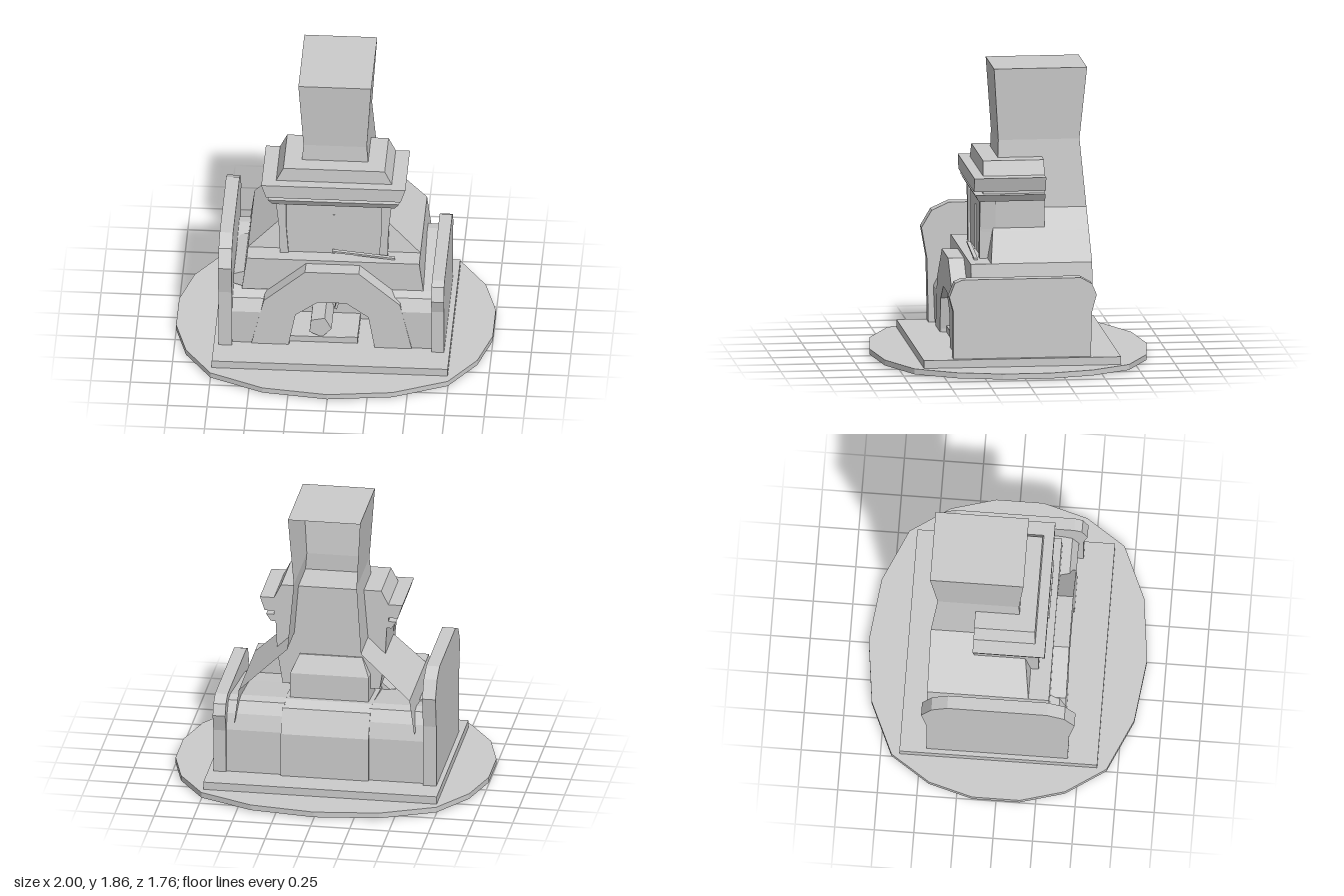
import * as THREE from 'three';

const mat = new THREE.MeshStandardMaterial({ color: 0xcccccc, flatShading: true });
const openMat = new THREE.MeshStandardMaterial({ color: 0xcccccc, flatShading: true, side: THREE.DoubleSide });

const shapeOf = pts => new THREE.Shape(pts.map(p => new THREE.Vector2(...p)));
const extrude = (shape, depth) => new THREE.ExtrudeGeometry(shape, { depth, bevelEnabled: false });

// Prism with a (z, y) outline running from x0 to x1
const sidePrism = (pts, x0, x1) =>
  extrude(shapeOf(pts), x1 - x0).rotateY(-Math.PI / 2).translate(x1, 0, 0);

// Stack of rectangular rings [y, halfWidth, zFront, zBack], listed bottom to top
function loft(rings, openBack = false, bottom = true) {
  const pts = rings.map(([y, w, zf, zb]) => [[-w, y, zb], [-w, y, zf], [w, y, zf], [w, y, zb]]);
  const pos = [];
  const quad = (a, b, c, d) => pos.push(...a, ...b, ...c, ...a, ...c, ...d);
  for (let i = 0; i + 1 < pts.length; i++)
    for (let k = 0; k < (openBack ? 3 : 4); k++) {
      const n = (k + 1) % 4;
      quad(pts[i][k], pts[i][n], pts[i + 1][n], pts[i + 1][k]);
    }
  quad(...pts[pts.length - 1]);
  if (bottom) quad(...[...pts[0]].reverse());
  const g = new THREE.BufferGeometry();
  g.setAttribute('position', new THREE.Float32BufferAttribute(pos, 3));
  g.computeVertexNormals();
  return g;
}

export function createModel() {
  const model = new THREE.Group();
  const add = (name, geo, m = mat) => {
    const mesh = new THREE.Mesh(geo, m);
    mesh.name = name;
    model.add(mesh);
    return mesh;
  };
  const box = (name, x0, x1, y0, y1, z0, z1) =>
    add(name, new THREE.BoxGeometry(x1 - x0, y1 - y0, z1 - z0)
      .translate((x0 + x1) / 2, (y0 + y1) / 2, (z0 + z1) / 2));

  // Faceted ground disc and square hearth slab
  const half = [[0, -0.88], [0.41, -0.83], [0.75, -0.68], [0.92, -0.43], [1, -0.15],
    [1, 0.15], [0.92, 0.43], [0.75, 0.68], [0.41, 0.83]];
  const disc = shapeOf([...half, ...half.map(([x, z]) => [-x, -z])]);
  add('groundDisc', extrude(disc, 0.035).rotateX(-Math.PI / 2).translate(0, 0.01, 0));
  box('hearthSlab', -0.745, 0.745, 0.04, 0.095, -0.63, 0.62);

  // Side panels, the right one taller
  add('shortPanel', sidePrism([[-0.44, 0], [0.43, 0], [0.43, 0.4], [0.455, 0.49], [0.42, 0.58],
    [0.37, 0.6], [-0.38, 0.6], [-0.45, 0.56], [-0.48, 0.49], [-0.45, 0.38]], 0.63, 0.71));
  add('tallPanel', sidePrism([[-0.46, 0], [0.43, 0], [0.44, 0.5], [0.475, 0.7], [0.41, 0.81],
    [0.3, 0.86], [-0.33, 0.86], [-0.43, 0.81], [-0.495, 0.7], [-0.46, 0.5]], -0.715, -0.63));

  // Rounded masonry either side of the firebox
  for (const s of [-1, 1]) {
    const top = s > 0 ? 0.47 : 0.43;
    const profile = [[-0.43, 0.09], [0.39, 0.09], [0.4, top - 0.1], [0.36, top - 0.02], [0.3, top],
      [0.1, 0.5], [-0.28, 0.56], [-0.35, 0.55], [-0.4, 0.48], [-0.43, 0.38]];
    add('sideMasonry', sidePrism(profile, s > 0 ? 0.27 : -0.64, s > 0 ? 0.64 : -0.27));
  }
  // Back of the firebox
  add('fireboxBack', sidePrism([[-0.45, 0.09], [0.08, 0.09], [0.08, 0.52], [-0.3, 0.56],
    [-0.38, 0.53], [-0.45, 0.38]], -0.28, 0.28));

  // Faceted front arch
  const arch = shapeOf([[-0.51, 0.09], [-0.43, 0.42], [-0.17, 0.645], [0.17, 0.645], [0.43, 0.42],
    [0.505, 0.09], [0.27, 0.09], [0.23, 0.32], [0.09, 0.42], [-0.09, 0.42], [-0.23, 0.32], [-0.275, 0.09]]);
  add('frontArch', extrude(arch, 0.32).translate(0, 0, 0.08));

  // Hood and chimney shell, open at the back
  add('hoodAndChimney', loft([
    [0.44, 0.575, 0.3, -0.47], [0.67, 0.545, 0.3, -0.47], [0.67, 0.545, 0.17, -0.47],
    [0.845, 0.365, 0.14, -0.47], [0.97, 0.235, 0.1, -0.47], [1.4, 0.2, 0.085, -0.43],
    [1.86, 0.23, 0.115, -0.475]], true, false), openMat);

  // Chimney breast with corner posts, a centre seam and the flue behind it
  add('chimneyBreast', loft([[0.62, 0.31, 0.205, -0.19], [0.84, 0.345, 0.205, -0.19],
    [1.05, 0.355, 0.205, -0.19]]));
  for (const s of [-1, 1]) {
    const post = shapeOf([[0.285, 0.66], [0.34, 0.66], [0.345, 0.85], [0.365, 1.04], [0.3, 1.04], [0.3, 0.86]]
      .map(([x, y]) => [s * x, y]));
    add('cornerPost', extrude(post, 0.1).translate(0, 0, 0.12));
  }
  box('centreSeam', -0.007, 0.007, 0.67, 0.96, 0.19, 0.212);
  box('centreSeam', -0.007, 0.007, 1.02, 1.04, 0.19, 0.212);
  add('flue', loft([[0.5, 0.25, 0, -0.26], [0.72, 0.25, 0, -0.26], [0.83, 0.2, 0, -0.2]]));

  // Tiered mantel
  add('mantel', loft([[1.04, 0.385, 0.23, -0.19], [1.085, 0.415, 0.255, -0.19],
    [1.085, 0.365, 0.2, -0.19], [1.11, 0.365, 0.2, -0.19], [1.11, 0.425, 0.265, -0.19],
    [1.2, 0.455, 0.265, -0.19], [1.2, 0.365, 0.2, -0.19], [1.29, 0.32, 0.195, -0.19]]));

  // Logs, ash and poker
  const log = (x, y, z, r, len) => {
    const m = add('log', new THREE.CylinderGeometry(r, r, len, 5).rotateX(Math.PI / 2));
    m.position.set(x, y, z);
    return m;
  };
  log(-0.08, 0.2, 0.22, 0.075, 0.26).rotation.z = 0.2;
  log(-0.58, 0.5, 0.06, 0.06, 0.44).rotation.z = 1.57;
  box('ashBed', -0.27, 0.16, 0.09, 0.135, 0.08, 0.36);
  const stick = box('kindling', -0.008, 0.008, -0.05, 0.05, -0.03, 0.03);
  stick.position.set(0.025, 0.31, 0.2);
  stick.rotation.z = -0.25;
  box('ember', 0.08, 0.16, 0.125, 0.14, 0.3, 0.36);
  const poker = box('poker', -0.2, 0.2, -0.006, 0.006, -0.012, 0.012);
  poker.position.set(0.19, 0.695, 0.25);
  poker.rotation.z = -0.1;

  return model;
}
